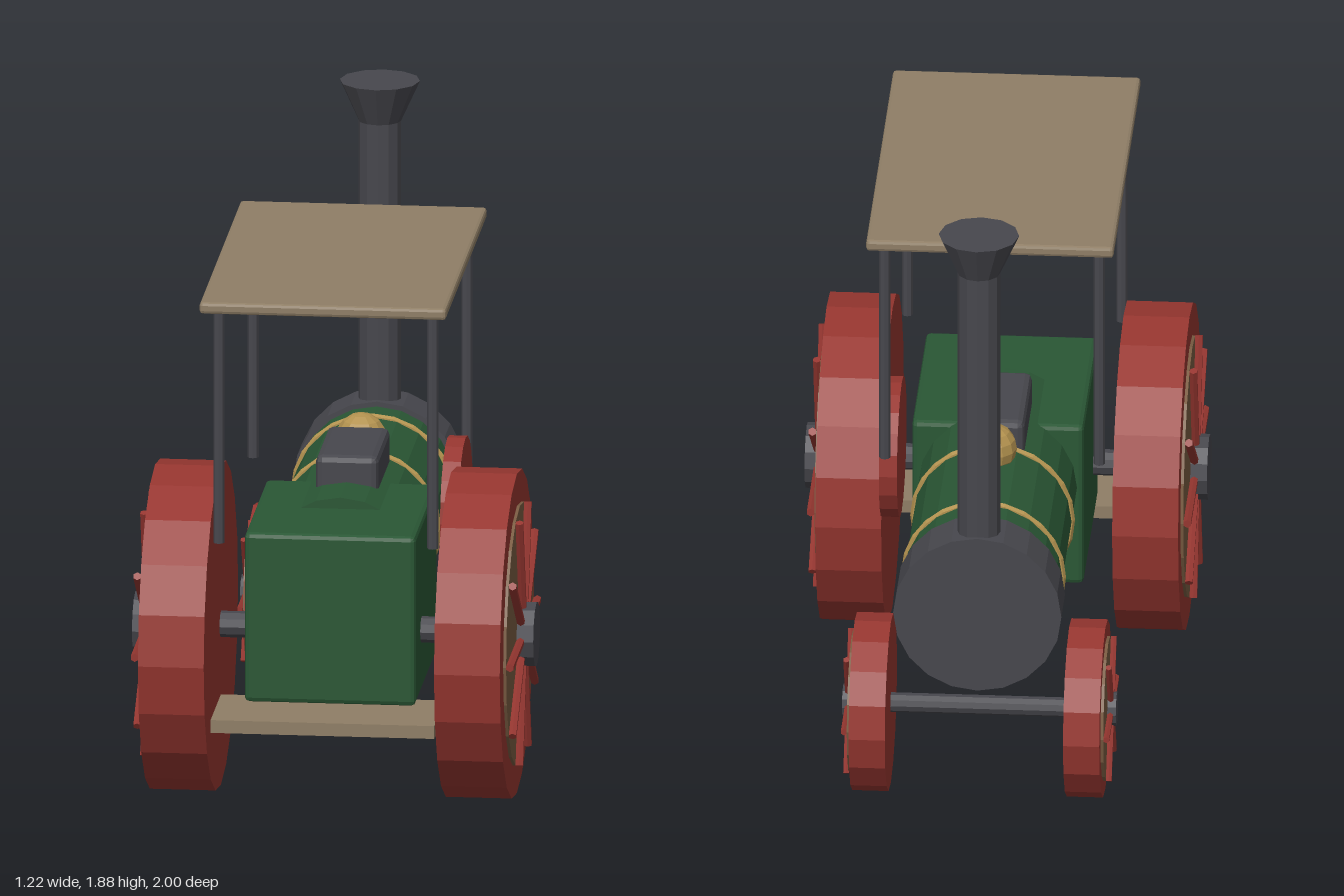
import * as THREE from 'three';
import { RoundedBoxGeometry } from 'three/addons/geometries/RoundedBoxGeometry.js';

const mat = (name, color) => {
  const m = new THREE.MeshStandardMaterial({ color });
  m.name = name;
  return m;
};

export function createModel() {
  const red = mat('wheel red', 0x963630);
  const green = mat('boiler green', 0x2a5735);
  const iron = mat('dark iron', 0x47474d);
  const brass = mat('brass', 0xb3924f);
  const tan = mat('canopy tan', 0x8f7e66);
  const wood = mat('wheel brown', 0x7a5c42);

  const model = new THREE.Group();
  model.name = 'tractionEngine';

  // Adds a faceted mesh to a parent
  const add = (name, geo, material, x, y, z, parent = model) => {
    const g = geo.index ? geo.toNonIndexed() : geo;
    g.computeVertexNormals();
    const mesh = new THREE.Mesh(g, material);
    mesh.name = name;
    mesh.position.set(x, y, z);
    parent.add(mesh);
    return mesh;
  };
  const cylX = (r, len, n) => new THREE.CylinderGeometry(r, r, len, n).rotateZ(Math.PI / 2);
  const cylZ = (r, len, n) => new THREE.CylinderGeometry(r, r, len, n).rotateX(Math.PI / 2);
  const bevelBox = (w, h, d, b) => new RoundedBoxGeometry(w, h, d, 1, b);

  // Boiler, smokebox and chimney
  const by = 0.635;
  add('boiler', cylZ(0.24, 1.07, 20), green, 0, by, -0.165);
  add('smokebox', cylZ(0.255, 0.16, 20), iron, 0, by, -0.77);
  add('chimney', new THREE.CylinderGeometry(0.065, 0.065, 0.92, 12), iron, 0, 1.29, -0.775);
  add('chimneyCap', new THREE.CylinderGeometry(0.122, 0.065, 0.125, 12), iron, 0, 1.8125, -0.775);
  for (const z of [-0.175, -0.572]) {
    add('boilerBand', new THREE.TorusGeometry(0.237, 0.013, 6, 24), brass, 0, by, z);
  }

  // Fittings on top of the boiler
  add('steamDome', new THREE.SphereGeometry(0.078, 12, 8), brass, 0, 0.9, -0.235);
  add('cylinderBlock', bevelBox(0.19, 0.13, 0.36, 0.02), iron, 0, 0.89, 0.01);

  // Firebox and footplate
  add('firebox', bevelBox(0.52, 0.53, 0.63, 0.015), green, 0, 0.575, 0.365);
  add('footplate', new THREE.BoxGeometry(0.68, 0.04, 0.3), tan, 0, 0.29, 0.745);

  // Flywheel on the left side only
  add('flywheel', cylX(0.215, 0.055, 20), red, 0.317, 0.765, 0.03);

  // Canopy and posts
  add('canopy', bevelBox(0.75, 0.036, 1.195, 0.01), tan, 0, 1.597, 0.2925);
  for (const x of [-0.325, 0.325]) {
    for (const z of [0.795, -0.2]) {
      add('canopyPost', new THREE.CylinderGeometry(0.017, 0.017, 0.75, 8), iron, x, 1.215, z);
    }
  }

  // A solid wheel with an inset disc, spokes and hub on its outer face
  const addWheel = (name, side, w) => {
    const wheel = new THREE.Group();
    wheel.name = name;
    wheel.position.set(0, w.y, w.z);
    model.add(wheel);
    const mid = (w.inner + w.outer) / 2;
    add('rim', cylX(w.r, w.outer - w.inner, w.sides), red, side * mid, 0, 0, wheel);
    add('disc', cylX(w.disc, 0.009, w.sides), wood, side * (w.outer + 0.0045), 0, 0, wheel);
    for (let i = 0; i < w.spokes; i++) {
      const a = (i / w.spokes) * Math.PI * 2;
      const spoke = new THREE.CylinderGeometry(w.spokeR, w.spokeR, w.disc, 6);
      spoke.translate(0, w.disc / 2, 0).rotateX(Math.PI / 2 + a);
      add('spoke', spoke, red, side * (w.outer + 0.009 + w.spokeR * 0.9), 0, 0, wheel);
    }
    add('hub', cylX(w.hub, w.hubOut - w.outer, 12), iron, side * (w.hubOut + w.outer) / 2, 0, 0, wheel);
  };
  const rear = {
    y: 0.5, z: 0.5, r: 0.5, inner: 0.35, outer: 0.55, sides: 20,
    disc: 0.4, spokes: 10, spokeR: 0.013, hub: 0.1, hubOut: 0.61,
  };
  const front = {
    y: 0.275, z: -0.73, r: 0.27, inner: 0.27, outer: 0.38, sides: 16,
    disc: 0.22, spokes: 6, spokeR: 0.01, hub: 0.052, hubOut: 0.415,
  };
  for (const side of [-1, 1]) {
    addWheel('drivingWheel', side, rear);
    addWheel('steeringWheel', side, front);
  }

  // Axles
  add('drivingAxle', cylX(0.04, 0.9, 10), iron, 0, 0.505, 0.5);
  add('steeringAxle', cylX(0.03, 0.6, 10), iron, 0, 0.275, -0.73);

  return model;
}
